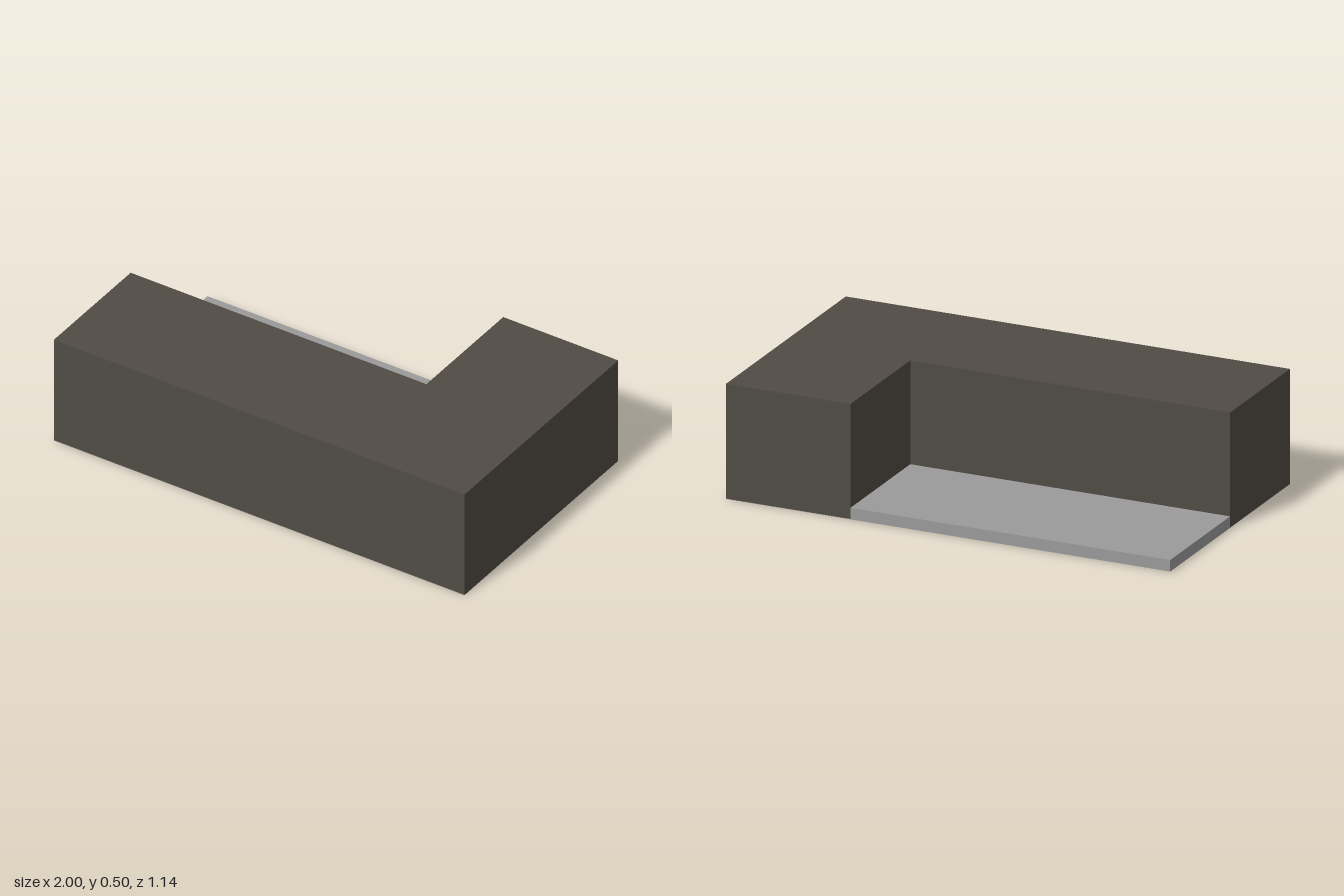
import * as THREE from 'three';

const W = 1, D = 0.57;          // half width and half depth
const HEIGHT = 0.5, SLAB = 0.05; // wall height and floor thickness
const NOTCH_X = 0.44, NOTCH_Z = 0;
const SKIN = 0.002;              // thin underside plate

export function createModel() {
  const model = new THREE.Group();
  model.name = 'cornerBlock';

  const darkBrown = new THREE.MeshStandardMaterial({ color: 0x504b44 });
  darkBrown.name = 'darkBrown';
  const grey = new THREE.MeshStandardMaterial({ color: 0x9a9a9a });
  grey.name = 'grey';

  const add = (name, geometry, material) => {
    const mesh = new THREE.Mesh(geometry, material);
    mesh.name = name;
    model.add(mesh);
    return mesh;
  };

  // L-shaped block, drawn in plan (shape y = -z) and extruded upward
  const plan = new THREE.Shape([
    [-W, -D], [W, -D], [W, D], [NOTCH_X, D], [NOTCH_X, -NOTCH_Z], [-W, -NOTCH_Z],
  ].map(([x, y]) => new THREE.Vector2(x, y)));
  const block = new THREE.ExtrudeGeometry(plan, { depth: HEIGHT - SKIN, bevelEnabled: false });
  block.rotateX(-Math.PI / 2).translate(0, SKIN, 0);
  add('lShapedBlock', block, darkBrown);

  // Low floor slab filling the open corner at the back
  const floor = new THREE.BoxGeometry(NOTCH_X + W, SLAB - SKIN, NOTCH_Z + D);
  floor.translate((NOTCH_X - W) / 2, (SLAB + SKIN) / 2, (NOTCH_Z - D) / 2);
  add('floorSlab', floor, grey);

  // Underside of the slab, running beneath the whole block
  const underside = new THREE.BoxGeometry(2 * W, SKIN, 2 * D);
  underside.translate(0, SKIN / 2, 0);
  add('slabUnderside', underside, grey);

  return model;
}
